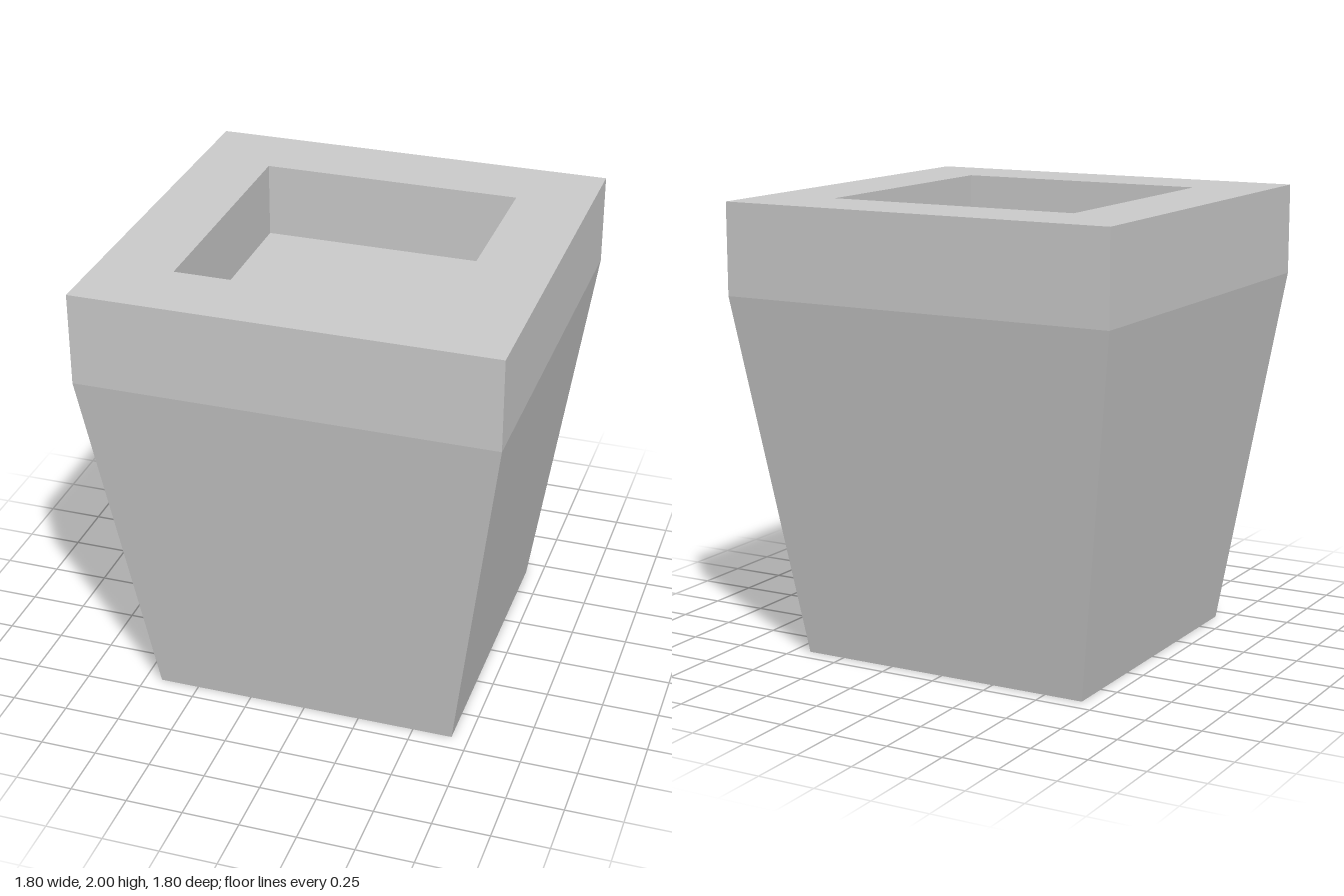
import * as THREE from 'three';

// Square ring of faces: each profile point is [half width, height]
function squareLathe(name, profile, material) {
  const points = profile.map(([half, y]) => new THREE.Vector2(half * Math.SQRT2, y));
  const geometry = new THREE.LatheGeometry(points, 4, Math.PI / 4).toNonIndexed();
  geometry.computeVertexNormals();
  const mesh = new THREE.Mesh(geometry, material);
  mesh.name = name;
  return mesh;
}

export function createModel() {
  const stone = new THREE.MeshStandardMaterial({
    name: 'paleGrey', color: 0xcccccc, flatShading: true, side: THREE.DoubleSide,
  });

  const planter = new THREE.Group();
  planter.name = 'planter';

  // Tapered thin shell, open underneath
  planter.add(squareLathe('taperedBody', [[0.675, 0], [0.9, 1.6]], stone));

  // Upright band, flat top and the inner walls of the recess
  planter.add(squareLathe('rim', [[0.9, 1.6], [0.9, 2], [0.572, 2], [0.572, 1.67]], stone));

  // Floor of the recess
  const floor = new THREE.Mesh(new THREE.PlaneGeometry(1.144, 1.144), stone);
  floor.name = 'recessFloor';
  floor.rotation.x = -Math.PI / 2;
  floor.position.y = 1.67;
  planter.add(floor);

  return planter;
}
